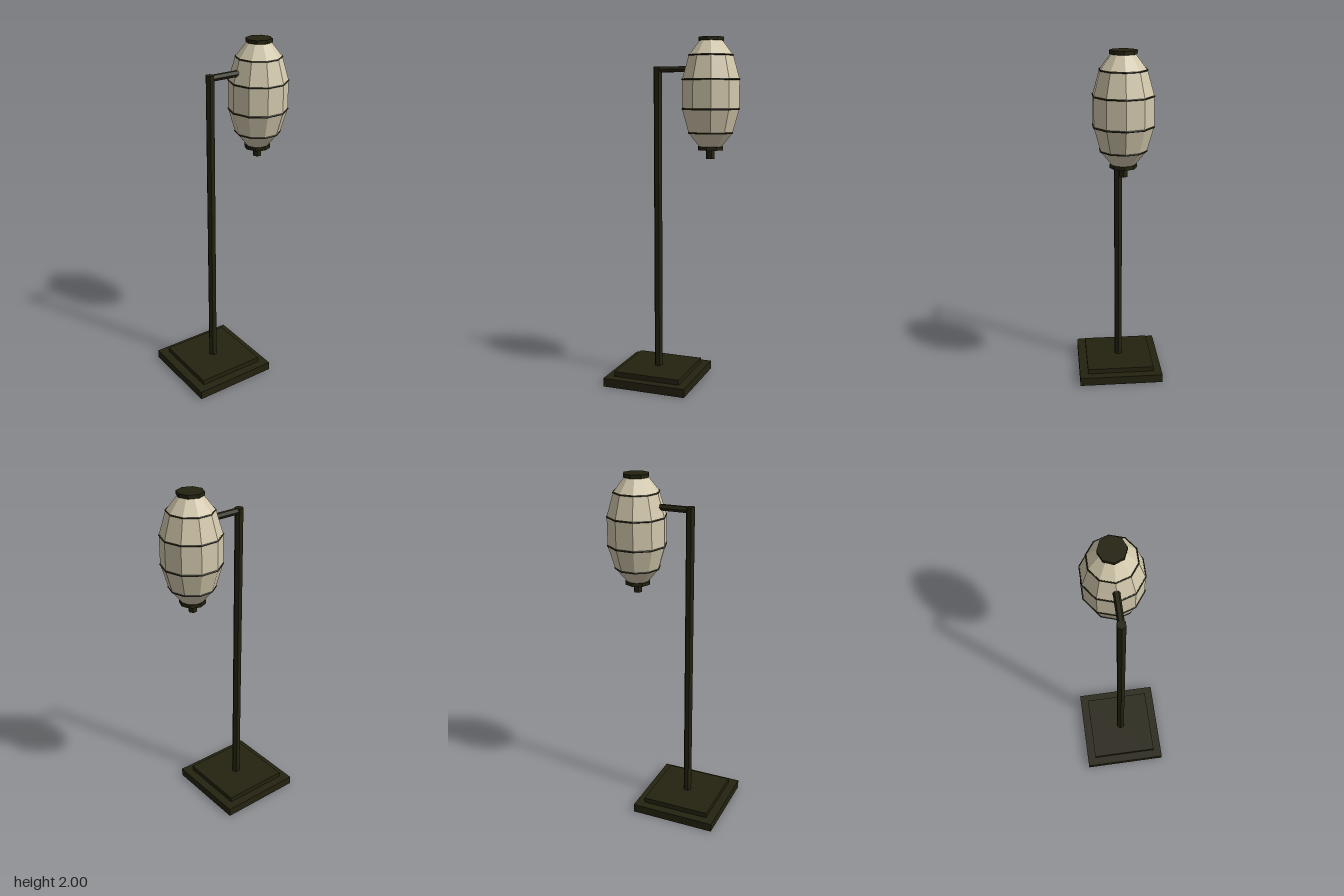
import * as THREE from 'three';

export function createModel() {
  const model = new THREE.Group();
  model.name = 'lanternOnStand';

  const darkWood = new THREE.MeshStandardMaterial({ color: 0x24220f, flatShading: true });
  darkWood.name = 'dark wood';
  const paper = new THREE.MeshStandardMaterial({ color: 0xd2c8ac, flatShading: true });
  paper.name = 'cream paper';

  const add = (name, geometry, material, x, y, parent = model) => {
    const mesh = new THREE.Mesh(geometry, material);
    mesh.name = name;
    mesh.position.set(x, y, 0);
    parent.add(mesh);
    return mesh;
  };

  // Upright prism from y0 to y1 with a corner pointing along x
  const prism = (radius, y0, y1, sides) =>
    new THREE.CylinderGeometry(radius, radius, y1 - y0, sides)
      .rotateY(Math.PI / 2)
      .translate(0, (y0 + y1) / 2, 0);

  // Stepped square base
  const poleX = -0.12;
  add('baseSlab', new THREE.BoxGeometry(0.5, 0.05, 0.5), darkWood, poleX, 0.025);
  add('baseStep', new THREE.BoxGeometry(0.4, 0.03, 0.4), darkWood, poleX, 0.065);

  // Six-sided pole and the arm reaching into the lantern
  const lanternX = 0.197;
  add('pole', prism(0.025, 0.08, 1.845, 6), darkWood, poleX, 0);
  const armLength = lanternX - poleX;
  add('arm', new THREE.CylinderGeometry(0.0185, 0.0185, armLength, 6).rotateZ(Math.PI / 2),
    darkWood, poleX + armLength / 2, 1.828);

  // Ten-sided paper lantern
  const lantern = new THREE.Group();
  lantern.name = 'lantern';
  lantern.position.x = lanternX;
  model.add(lantern);

  const profile = [
    [0.066, 1.4], [0.128, 1.477], [0.166, 1.608],
    [0.166, 1.77], [0.128, 1.901], [0.066, 1.98],
  ].map(([r, y]) => new THREE.Vector2(r, y));
  add('paperShade', new THREE.LatheGeometry(profile, 10).rotateY(Math.PI / 2), paper, 0, 0, lantern);

  // Hoops at each bend of the shade
  profile.slice(1, -1).forEach((p) => {
    add('hoop', new THREE.TorusGeometry(p.x, 0.005, 4, 10).rotateX(Math.PI / 2), darkWood, 0, p.y, lantern);
  });

  // End caps and bottom finial
  add('topCap', prism(0.074, 1.98, 2, 8), darkWood, 0, 0, lantern);
  add('bottomCap', prism(0.074, 1.38, 1.4, 8), darkWood, 0, 0, lantern);
  add('finial', prism(0.025, 1.33, 1.38, 6), darkWood, 0, 0, lantern);

  return model;
}
